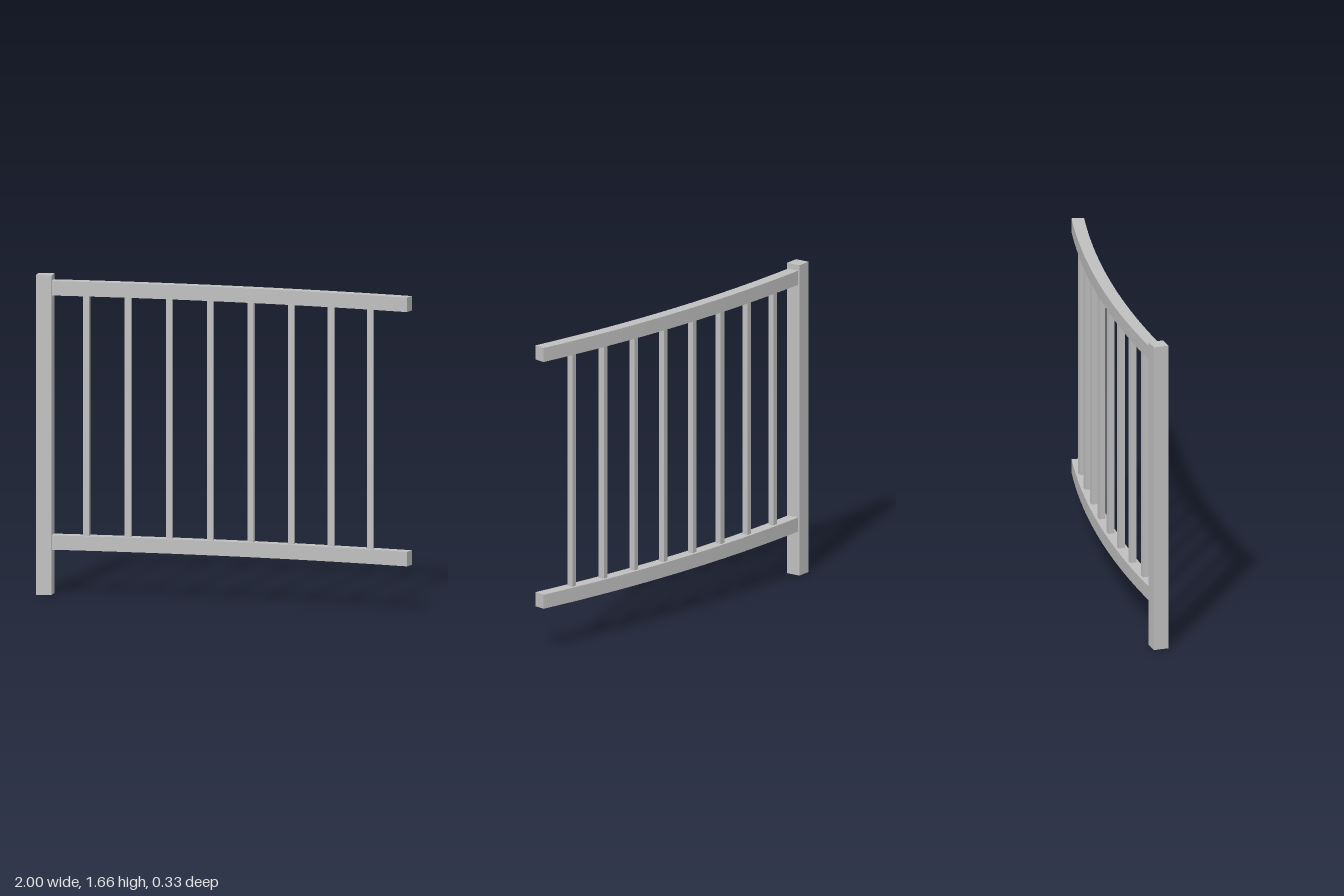
import * as THREE from 'three';

const START_X = -0.96, START_Z = -0.124; // where the arc leaves the post
const RADIUS = 7.53, SWEEP = Math.PI / 12;
const CENTRE_Z = START_Z + RADIUS;
const RAIL_WIDTH = 0.065, RAIL_HEIGHT = 0.075;
const LOWER_Y = 0.235, UPPER_Y = 1.555;
const BAYS = 9;

// Curved bar: an arc-shaped plan extruded upwards
function railGeometry() {
  const h = RAIL_WIDTH / 2, a = Math.PI / 2, b = a - SWEEP;
  const plan = new THREE.Shape();
  plan.absarc(START_X, -CENTRE_Z, RADIUS + h, a, b, true);
  plan.absarc(START_X, -CENTRE_Z, RADIUS - h, b, a, false);
  return new THREE.ExtrudeGeometry(plan, {
    depth: RAIL_HEIGHT, bevelEnabled: false, curveSegments: 18,
  }).rotateX(-Math.PI / 2);
}

export function createModel() {
  const model = new THREE.Group();
  model.name = 'curvedRailing';
  const metal = new THREE.MeshStandardMaterial({ color: 0xc0c0c0 });
  metal.name = 'greyMetal';

  const add = (name, geometry, x, y, z) => {
    const mesh = new THREE.Mesh(geometry, metal);
    mesh.name = name;
    mesh.position.set(x, y, z);
    model.add(mesh);
  };

  // End post
  add('post', new THREE.BoxGeometry(0.082, 1.66, 0.079), -0.959, 0.83, -0.125);

  // Two matching curved rails
  const rail = railGeometry();
  add('lowerRail', rail, 0, LOWER_Y, 0);
  add('upperRail', rail, 0, UPPER_Y, 0);

  // Balusters at equal angles along the arc
  const bottom = LOWER_Y + RAIL_HEIGHT;
  const baluster = new THREE.BoxGeometry(0.032, UPPER_Y - bottom, 0.032);
  for (let i = 1; i < BAYS; i++) {
    const t = (SWEEP * i) / BAYS;
    add('baluster' + i, baluster,
      START_X + RADIUS * Math.sin(t), (bottom + UPPER_Y) / 2, CENTRE_Z - RADIUS * Math.cos(t));
  }
  return model;
}
